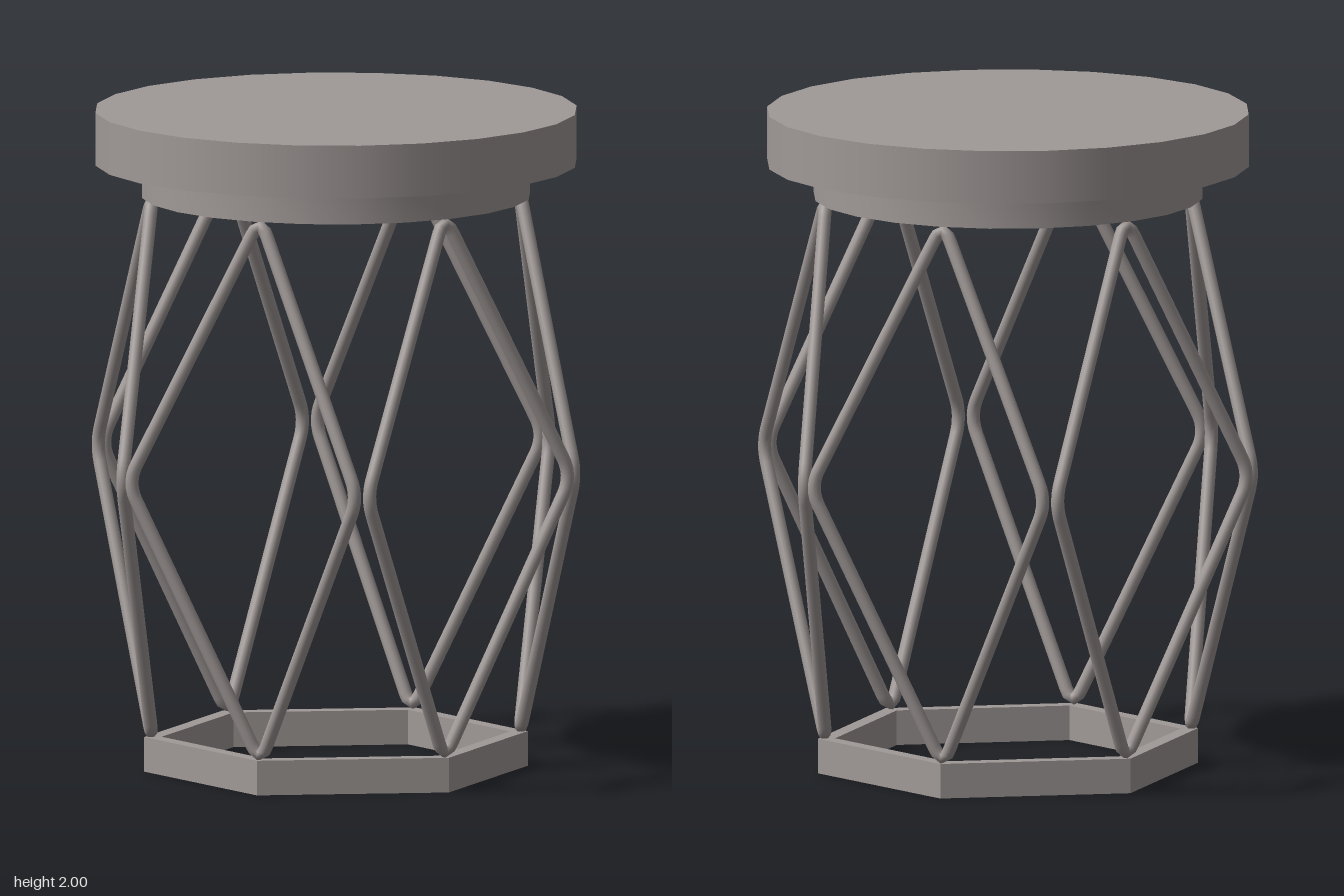
import * as THREE from 'three';
import { toCreasedNormals } from 'three/addons/utils/BufferGeometryUtils.js';

const metal = new THREE.MeshStandardMaterial({ color: 0xa09997 });
metal.name = 'warm grey metal';

function part(name, geometry) {
  const mesh = new THREE.Mesh(geometry, metal);
  mesh.name = name;
  return mesh;
}

// Hollow ring of rectangular section; the first corner points to +z.
function ring(outer, inner, y0, y1, sides) {
  const profile = [[outer, y0], [outer, y1], [inner, y1], [inner, y0], [outer, y0]]
    .map(([r, y]) => new THREE.Vector2(r, y));
  return toCreasedNormals(new THREE.LatheGeometry(profile, sides), 0.5);
}

// Closed path through the corners, each one rounded off.
function roundedLoop(corners, cut) {
  const n = corners.length;
  const path = new THREE.CurvePath();
  const toward = (a, b) => a.clone().add(b.clone().sub(a).setLength(cut));
  corners.forEach((c, i) => {
    const prev = corners[(i + n - 1) % n], next = corners[(i + 1) % n];
    path.add(new THREE.QuadraticBezierCurve3(toward(c, prev), c, toward(c, next)));
    path.add(new THREE.LineCurve3(toward(c, next), toward(next, c)));
  });
  return path;
}

export function createModel() {
  const model = new THREE.Group();
  model.name = 'stool';

  // Round seat and the collar under it
  const seat = part('seat', new THREE.CylinderGeometry(0.725, 0.725, 0.16, 24));
  seat.position.y = 1.92;
  model.add(seat);
  model.add(part('seatCollar', ring(0.585, 0.52, 1.74, 1.84, 24)));

  // Hexagonal foot frame
  model.add(part('footFrame', ring(0.578, 0.525, 0, 0.105, 6)));

  // Six bent diamonds of round rod, touching side by side
  const corners = [
    [0, 1.748, 0.553], [0.378, 0.94, 0.683], [0, 0.095, 0.553], [-0.378, 0.94, 0.683],
  ].map((p) => new THREE.Vector3(...p));
  const rod = new THREE.TubeGeometry(roundedLoop(corners, 0.06), 180, 0.02, 12, true);
  for (let i = 0; i < 6; i++) {
    const diamond = part('rodDiamond' + (i + 1), rod);
    diamond.rotation.y = (i * Math.PI) / 3;
    model.add(diamond);
  }
  return model;
}
